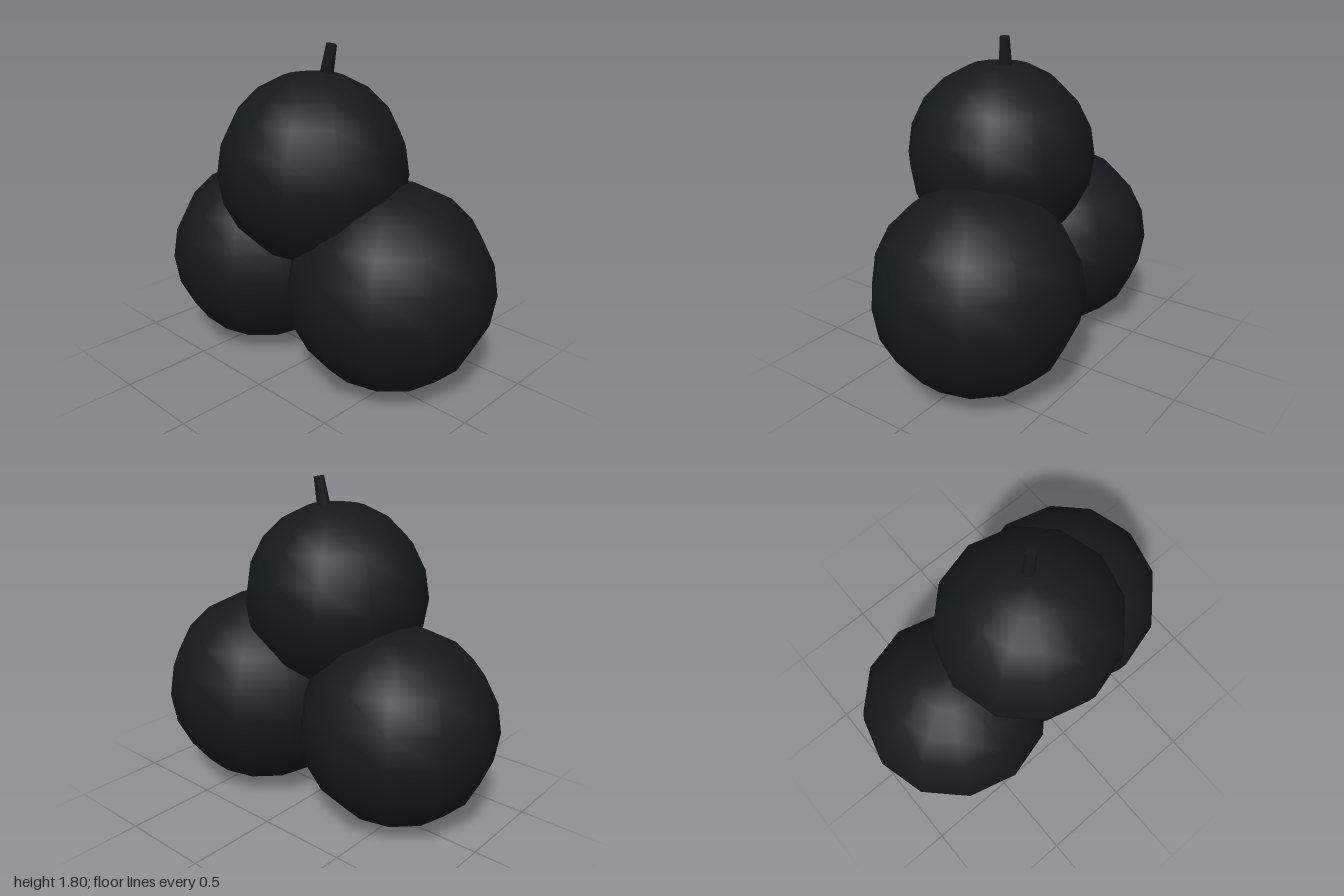
import * as THREE from 'three';

export function createModel() {
  const group = new THREE.Group();
  const skin = new THREE.MeshStandardMaterial({ color: 0x14181c });
  const wood = new THREE.MeshStandardMaterial({ color: 0x15191b });

  // Three overlapping berries: name, radius, centre
  const berries = [
    ['rightBerry', 0.535, [-0.47, 0.54, 0.036]],
    ['leftBerry', 0.56, [0.44, 0.563, -0.058]],
    ['topBerry', 0.51, [0.022, 1.157, 0.098]],
  ];
  for (const [name, radius, centre] of berries) {
    const berry = new THREE.Mesh(new THREE.SphereGeometry(radius, 12, 10), skin);
    berry.name = name;
    berry.position.set(...centre);
    group.add(berry);
  }

  // Short tapered stem, leaning slightly and sunk into the top berry
  const base = new THREE.Vector3(0.045, 1.57, 0.042);
  const tip = new THREE.Vector3(0.081, 1.8, 0.024);
  const axis = tip.clone().sub(base);
  const stem = new THREE.Mesh(new THREE.CylinderGeometry(0.028, 0.041, axis.length(), 6), wood);
  stem.name = 'stem';
  stem.position.copy(base).add(tip).multiplyScalar(0.5);
  stem.quaternion.setFromUnitVectors(new THREE.Vector3(0, 1, 0), axis.normalize());
  group.add(stem);

  return group;
}
